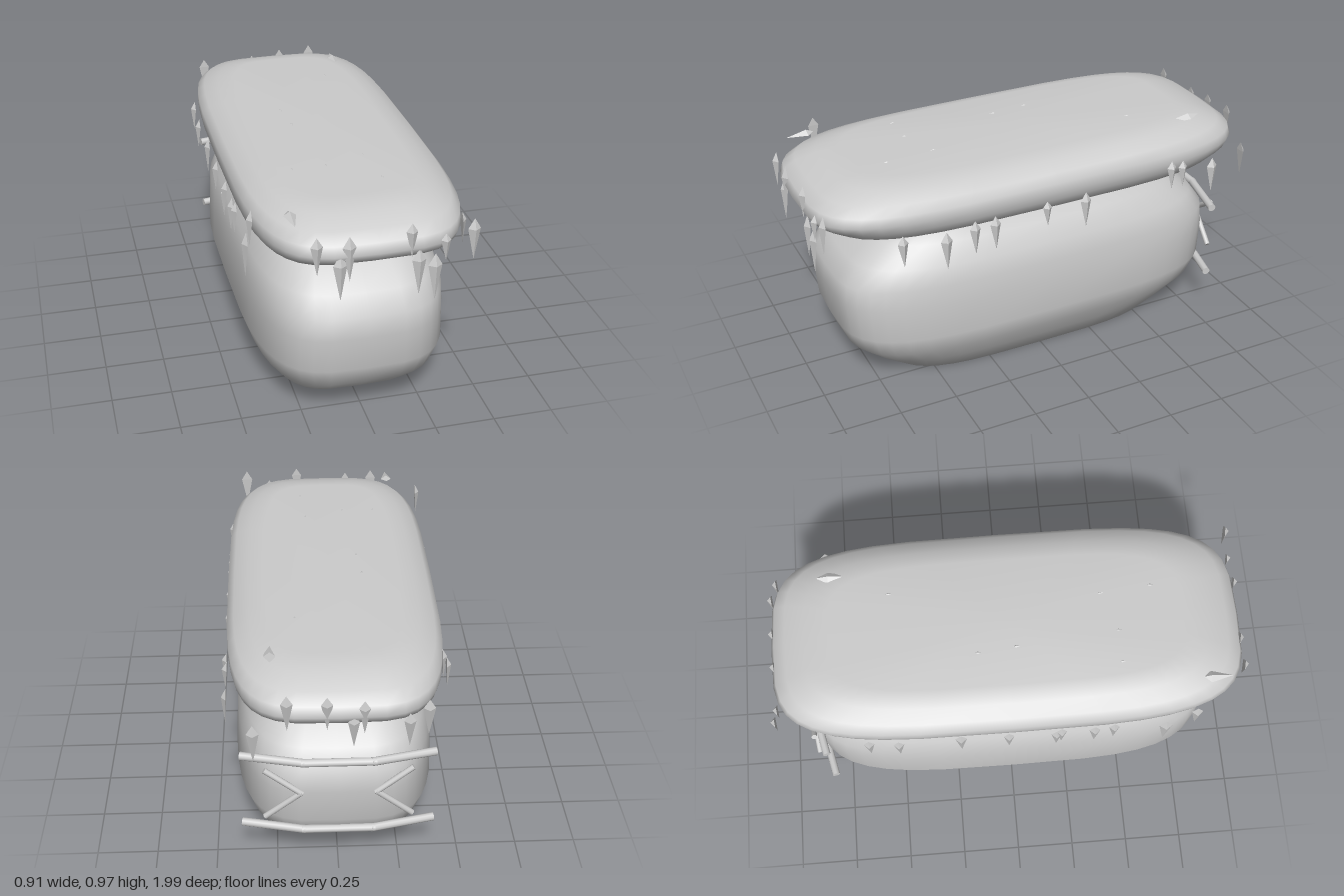
import * as THREE from 'three';

const SIDES = 40;

// Closed smooth body from rounded-rectangle rings [y, halfWidth, halfDepth], bottom to top
function ringBody(rings, power) {
  const pos = [], idx = [];
  const bend = v => Math.sign(v) * Math.abs(v) ** (2 / power);
  for (const [y, rx, rz] of rings) {
    for (let j = 0; j < SIDES; j++) {
      const t = (j / SIDES) * Math.PI * 2;
      pos.push(rx * bend(Math.cos(t)), y, rz * bend(Math.sin(t)));
    }
  }
  const last = (rings.length - 1) * SIDES, bottom = rings.length * SIDES, top = bottom + 1;
  pos.push(0, rings[0][0], 0, 0, rings[rings.length - 1][0], 0);
  for (let j = 0; j < SIDES; j++) {
    const k = (j + 1) % SIDES;
    for (let i = 0; i < last; i += SIDES) {
      idx.push(i + j, i + SIDES + j, i + k, i + k, i + SIDES + j, i + SIDES + k);
    }
    idx.push(bottom, j, k, top, last + k, last + j);
  }
  const geo = new THREE.BufferGeometry();
  geo.setAttribute('position', new THREE.Float32BufferAttribute(pos, 3));
  geo.setIndex(idx);
  geo.computeVertexNormals();
  return geo;
}

// Kite-shaped spike hanging from the origin, ridge towards +z
function kiteGeometry(length, width, depth) {
  const w = width / 2, m = -0.25 * length;
  const top = [0, 0, 0], left = [-w, m, 0], right = [w, m, 0];
  const ridge = [0, m, depth], tip = [0, -length, 0.008];
  const faces = [top, left, ridge, top, ridge, right, left, tip, ridge, ridge, tip, right,
    top, right, left, left, right, tip];
  const geo = new THREE.BufferGeometry();
  geo.setAttribute('position', new THREE.Float32BufferAttribute(faces.flat(), 3));
  geo.computeVertexNormals();
  return geo;
}

export function createModel() {
  const model = new THREE.Group();
  const smooth = new THREE.MeshStandardMaterial({ color: 0xcccccc });
  const faceted = new THREE.MeshStandardMaterial({ color: 0xcccccc, flatShading: true, side: THREE.DoubleSide });

  const add = (name, geo, mat, parent = model) => {
    const mesh = new THREE.Mesh(geo, mat);
    mesh.name = name;
    parent.add(mesh);
    return mesh;
  };

  // Rounded loaf-shaped body
  add('body', ringBody([
    [0, 0.30, 0.64], [0.08, 0.345, 0.75], [0.16, 0.39, 0.84], [0.25, 0.42, 0.875],
    [0.40, 0.413, 0.888], [0.49, 0.408, 0.88], [0.57, 0.385, 0.82],
    [0.65, 0.335, 0.715], [0.72, 0.28, 0.59],
  ], 3.7), smooth);

  // Overhanging slab on top
  add('topSlab', ringBody([
    [0.70, 0.30, 0.67], [0.725, 0.355, 0.80], [0.757, 0.41, 0.90], [0.80, 0.433, 0.97],
    [0.835, 0.438, 0.99], [0.875, 0.438, 0.975], [0.91, 0.41, 0.925],
    [0.94, 0.35, 0.84], [0.962, 0.28, 0.74],
  ], 4), smooth);

  // Spikes around the rim: [position along the side, top, tip]
  const spikes = new THREE.Group();
  spikes.name = 'spikes';
  model.add(spikes);
  const rim = [
    ['frontSpike', 0, s => [s, 0.975], [[-0.24, 0.925, 0.77], [-0.115, 0.915, 0.73], [-0.15, 0.845, 0.65],
      [0.125, 0.94, 0.80], [0.157, 0.83, 0.635], [0.222, 0.80, 0.60], [0.26, 0.88, 0.77], [0.37, 0.93, 0.76]]],
    ['backSpike', Math.PI, s => [s, -0.975], [[-0.33, 0.90, 0.75], [-0.26, 0.84, 0.70], [-0.09, 0.90, 0.76],
      [-0.05, 0.84, 0.70], [0.05, 0.92, 0.78], [0.2, 0.93, 0.78], [0.33, 0.80, 0.64]]],
    ['leftSpike', Math.PI / 2, s => [0.432, s], [[0.68, 0.80, 0.66], [0.495, 0.77, 0.60], [0.37, 0.79, 0.64],
      [0.28, 0.79, 0.64], [0.045, 0.80, 0.69], [-0.135, 0.80, 0.64], [-0.55, 0.85, 0.72],
      [-0.605, 0.84, 0.72], [-0.755, 0.82, 0.66]]],
    ['rightSpike', -Math.PI / 2, s => [-0.438, s], [[0.75, 0.95, 0.80], [0.64, 0.80, 0.60], [0.42, 0.82, 0.68],
      [0.34, 0.80, 0.65], [0.2, 0.81, 0.67], [0.18, 0.78, 0.64], [-0.02, 0.80, 0.66],
      [-0.22, 0.82, 0.66], [-0.48, 0.80, 0.66], [-0.60, 0.84, 0.70]]],
  ];
  for (const [name, turn, place, list] of rim) {
    for (const [along, top, tip] of list) {
      const length = top - tip;
      const spike = add(name, kiteGeometry(length, 0.02 + length * 0.18, 0.02), faceted, spikes);
      const [x, z] = place(along);
      spike.position.set(x, top, z);
      spike.rotation.y = turn;
    }
  }

  // Spikes lying on the slab, tips lifted slightly towards the back: [x, head z, tip z]
  for (const [x, head, tip] of [[-0.305, 0.79, 0.67], [-0.215, 0.42, 0.26], [-0.13, -0.16, -0.29],
    [-0.115, 0, -0.12], [-0.075, 0.42, 0.26], [0.095, 0.36, 0.2], [0.115, 0.58, 0.45],
    [0.16, -0.52, -0.67], [0.26, -0.78, -0.98]]) {
    const length = head - tip;
    const spike = add('topSpike', kiteGeometry(length, 0.05, 0.018), faceted, spikes);
    spike.position.set(x, 0.952, head);
    spike.rotation.x = Math.PI / 2 + 0.08;
    spike.rotation.x -= Math.PI; // lay flat with the ridge up
    spike.rotation.x += 0.04;
    spike.scale.y = 1;
  }

  // Single spike lying under the slab
  const under = add('undersideSpike', kiteGeometry(0.12, 0.05, 0.015), faceted, spikes);
  under.position.set(-0.32, 0.705, 0.03);
  under.rotation.x = Math.PI / 2;

  // Thin rods on the back: two bent bars and a pair of inward-pointing chevrons
  const rods = (name, points, radius) => {
    const group = new THREE.Group();
    group.name = name;
    model.add(group);
    const pts = points.map(p => new THREE.Vector3(...p));
    for (let i = 1; i < pts.length; i++) {
      const path = pts[i].clone().sub(pts[i - 1]);
      const rod = add('rod', new THREE.CylinderGeometry(radius, radius, path.length() + radius, 10), smooth, group);
      rod.position.copy(pts[i]).add(pts[i - 1]).multiplyScalar(0.5);
      rod.quaternion.setFromUnitVectors(new THREE.Vector3(0, 1, 0), path.normalize());
    }
  };
  for (const [name, y] of [['upperBar', 0.535], ['lowerBar', 0.2]]) {
    rods(name, [[-0.38, y, -0.81], [-0.14, y, -0.865], [0.14, y, -0.865], [0.38, y, -0.81]], 0.017);
  }
  for (const s of [-1, 1]) {
    rods('chevron', [[s * 0.29, 0.5, -0.865], [s * 0.15, 0.40, -0.882], [s * 0.29, 0.28, -0.87]], 0.012);
  }
  return model;
}
